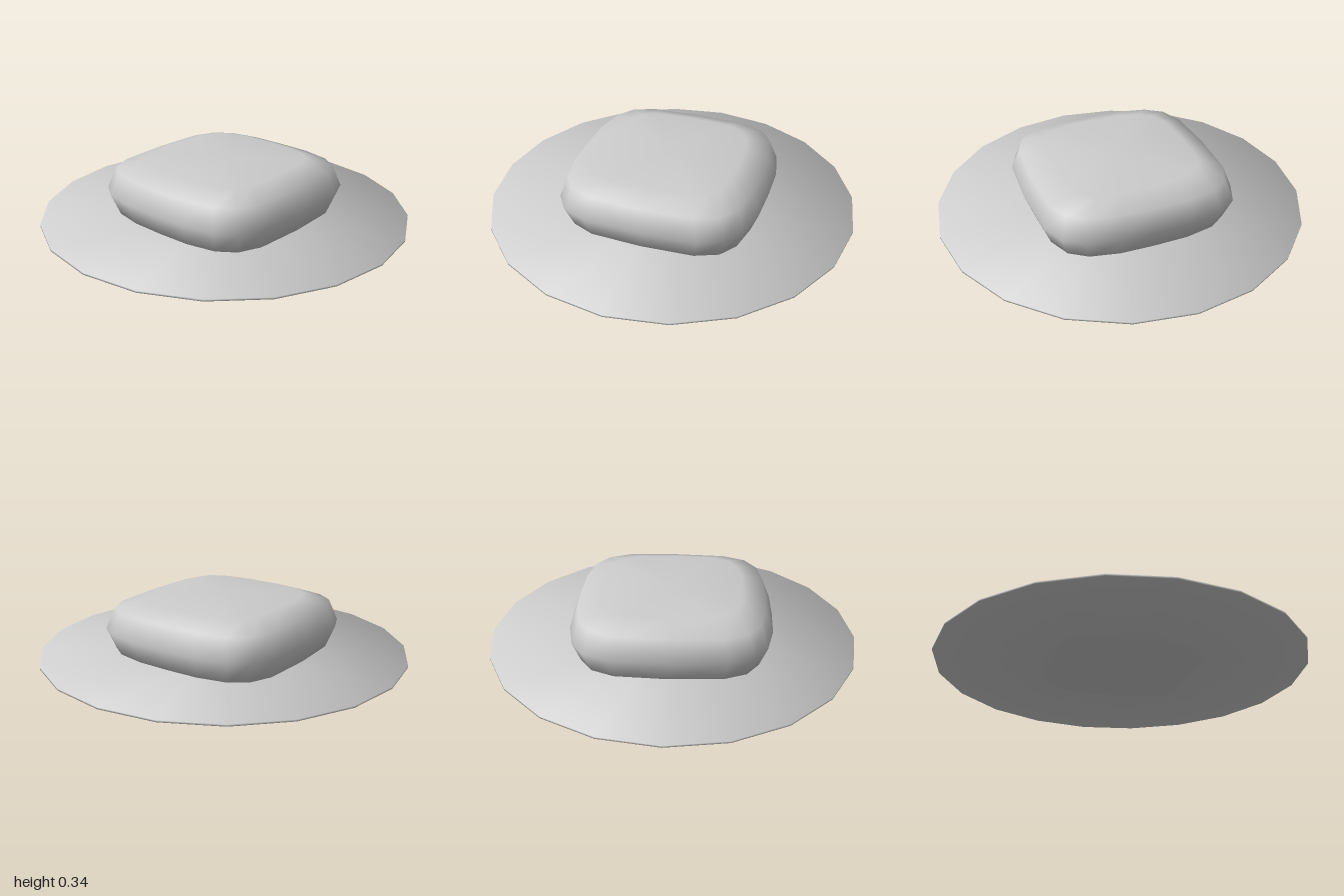
import * as THREE from 'three';
import { mergeVertices } from 'three/addons/utils/BufferGeometryUtils.js';

// Rounded-square outline: one quadrant turned four times
const quadrant = [[0.54, 0], [0.535, 0.2], [0.5, 0.37], [0.43, 0.47], [0.3, 0.525]];

function outline() {
  const points = [];
  for (let q = 0; q < 4; q++) {
    // odd quadrants run the list backwards so that the outline is mirrored
    const list = q % 2 === 0 ? quadrant : [[0, 0.54], ...quadrant.slice(1).reverse().map(([x, z]) => [-x, z])];
    const sign = q < 2 ? 1 : -1;
    for (const [x, z] of list) points.push([x * sign, z * sign]);
  }
  return points;
}

// Smooth cushion: outline scaled at several heights, closed by a point at each end
function cushionGeometry() {
  const rings = [[0.02, 0.69], [0.06, 0.92], [0.175, 1], [0.29, 0.92], [0.335, 0.69]];
  const loop = outline();
  const n = loop.length;
  const positions = [];
  const index = [];
  for (const [y, s] of rings) for (const [x, z] of loop) positions.push(x * s, y, z * s);
  const bottom = rings.length * n;
  positions.push(0, 0, 0, 0, 0.345, 0);
  const last = (rings.length - 1) * n;
  for (let i = 0; i < n; i++) {
    const j = (i + 1) % n;
    for (let r = 0; r < rings.length - 1; r++) {
      const a = r * n + i, b = r * n + j;
      index.push(a, a + n, b, b, a + n, b + n);
    }
    index.push(bottom, i, j, bottom + 1, last + j, last + i);
  }
  const geometry = new THREE.BufferGeometry();
  geometry.setAttribute('position', new THREE.Float32BufferAttribute(positions, 3));
  geometry.setIndex(index);
  geometry.computeVertexNormals();
  return geometry;
}

// Thin twenty-sided disc with soft normals over its rim
function discGeometry() {
  const source = new THREE.CylinderGeometry(1, 1, 0.01, 20);
  source.deleteAttribute('normal');
  source.deleteAttribute('uv');
  const geometry = mergeVertices(source);
  geometry.computeVertexNormals();
  const p = geometry.attributes.position;
  const normal = new THREE.Vector3();
  for (let i = 0; i < p.count; i++) {
    normal.set(p.getX(i) * 0.8, Math.sign(p.getY(i)), p.getZ(i) * 0.8).normalize();
    geometry.attributes.normal.setXYZ(i, normal.x, normal.y, normal.z);
  }
  return geometry;
}

export function createModel() {
  const group = new THREE.Group();
  const grey = new THREE.MeshStandardMaterial({ color: 0xcccccc });
  grey.name = 'lightGrey';

  const cushion = new THREE.Mesh(cushionGeometry(), grey);
  cushion.name = 'roundedBody';

  const disc = new THREE.Mesh(discGeometry(), grey);
  disc.name = 'baseDisc';
  disc.position.y = 0.035;

  group.add(cushion, disc);
  return group;
}
